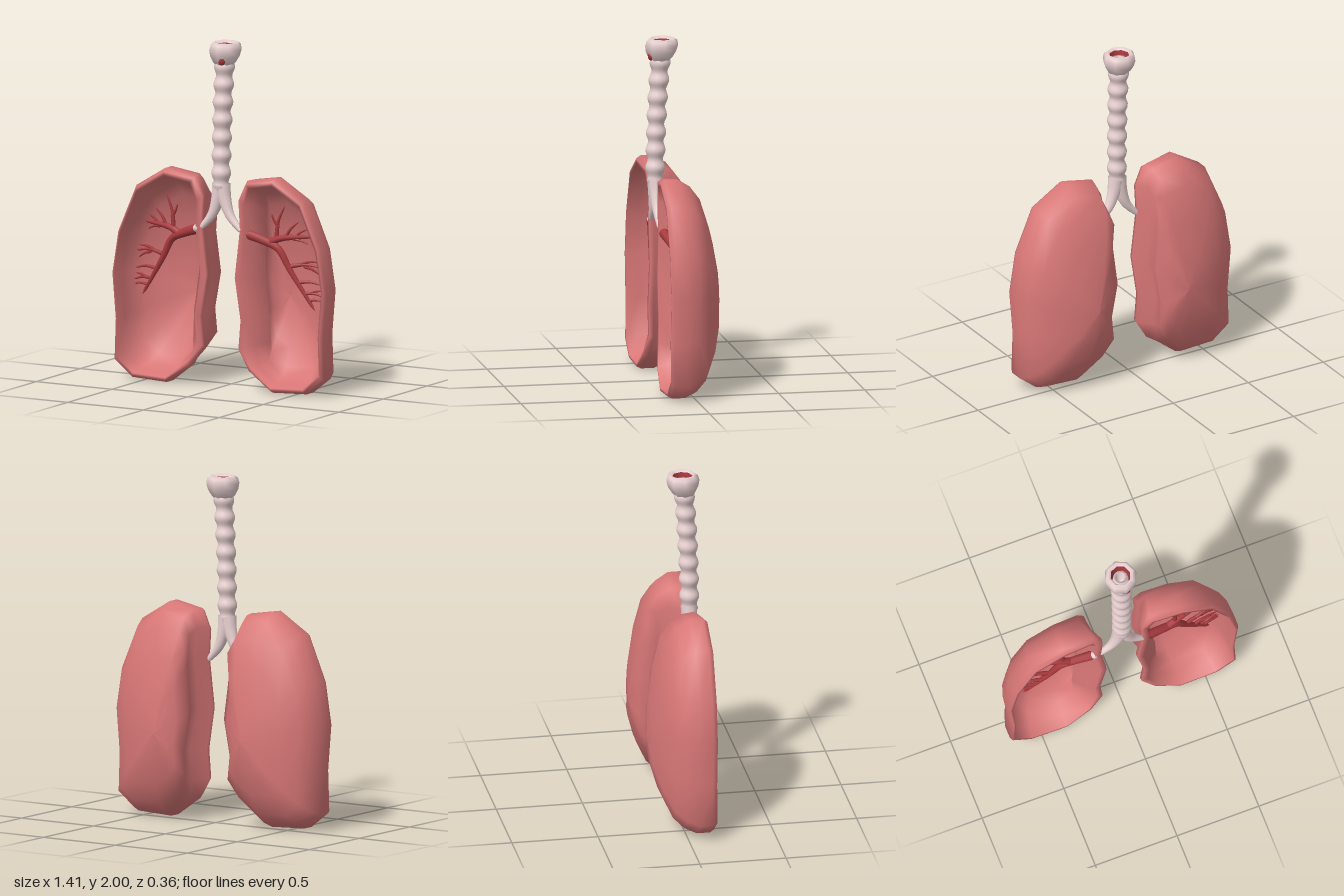
import * as THREE from 'three';

const mat = (color) => new THREE.MeshStandardMaterial({ color, side: THREE.DoubleSide });
const lungMat = mat(0xd97777), paleMat = mat(0xe8d0d0), vesselMat = mat(0xa83a3e);
const { clamp, lerp } = THREE.MathUtils;

function add(parent, name, geometry, material) {
  const mesh = new THREE.Mesh(geometry, material);
  mesh.name = name;
  parent.add(mesh);
  return mesh;
}

// Outline of one lung, clockwise from the top
const OUTLINE = [
  [0.36, 1.245], [0.55, 1.13], [0.665, 0.865], [0.705, 0.615], [0.682, 0.345], [0.69, 0.105], [0.575, 0.015],
  [0.35, 0.005], [0.195, 0.11], [0.115, 0.23], [0.13, 0.4], [0.09, 0.65], [0.125, 0.94], [0.115, 1.11], [0.17, 1.215],
];

// Rings of [scale, z] from the back to the rim; the inside repeats them smaller and further forward
const SKIN = [[0, -0.183], [0.3, -0.17], [0.6, -0.125], [0.83, -0.07], [0.94, -0.01], [1, 0.06]];
const RIM = [[1, 0.135], [0.975, 0.16], [0.945, 0.16]];
const RINGS = [...SKIN, ...RIM, ...SKIN.map(([s, z]) => [s * 0.92, z + 0.03]).reverse()];

// Hollow lung, open at the front, with the wall facing the windpipe pinched in
function lungGeometry(side) {
  const cx = 0.3, cy = 0.52, n = OUTLINE.length, pos = [], index = [];
  RINGS.forEach(([s, ringZ], i) => {
    for (const [ox, oy] of OUTLINE) {
      const x = cx + (ox - cx) * s, y = cy + (oy - cy) * s;
      const medial = clamp((0.25 - x) / 0.12, 0, 1);
      const z = ringZ - 0.03 * medial;
      const pinch = (0.05 + 0.05 * clamp((1 - y) / 0.7, 0, 1)) * Math.exp(-((z / 0.055) ** 2));
      const wall = i > 7 ? 0.03 : 0;
      pos.push(side * (x + medial * (pinch + wall)), y, z);
    }
  });
  for (let i = 0; i < RINGS.length - 1; i++) {
    for (let j = 0; j < n; j++) {
      const k = (j + 1) % n;
      const a = i * n + j, b = a + n, c = i * n + k, d = c + n;
      if (side > 0) index.push(a, b, c, c, b, d);
      else index.push(a, c, b, c, d, b);
    }
  }
  const g = new THREE.BufferGeometry();
  g.setAttribute('position', new THREE.Float32BufferAttribute(pos, 3));
  g.setIndex(index);
  g.computeVertexNormals();
  return g;
}

// Tube along points, tapering from r0 to r1, with closed ends
function taperTube(points, r0, r1, segs, radial) {
  const curve = new THREE.CatmullRomCurve3(points);
  const g = new THREE.TubeGeometry(curve, segs, 1, radial);
  const p = g.attributes.position, v = new THREE.Vector3();
  for (let i = 0; i <= segs; i++) {
    const c = curve.getPointAt(i / segs);
    const r = i === 0 || i === segs ? 0.001 : lerp(r0, r1, i / segs);
    for (let j = 0; j <= radial; j++) {
      const k = i * (radial + 1) + j;
      v.fromBufferAttribute(p, k).sub(c).multiplyScalar(r).add(c);
      p.setXYZ(k, v.x, v.y, v.z);
    }
  }
  return g;
}

// Lathe whose axis leans slightly backwards towards the top
function leaningLathe(profile, sides) {
  const g = new THREE.LatheGeometry(profile.map(([r, y]) => new THREE.Vector2(r, y)), sides);
  const p = g.attributes.position;
  for (let i = 0; i < p.count; i++) {
    const t = (p.getY(i) - 1.17) / 0.83;
    p.setZ(i, p.getZ(i) + 0.12 - 0.04 * t * t);
    p.setX(i, p.getX(i) + 0.008 * t);
  }
  return g;
}

// Vessels lie on a slope that falls back towards the outer side of the lung
const onSlope = (side, x, y) => new THREE.Vector3(side * x, y, 0.14 - 0.19 * x);

const MAIN = [[0.15, 0.91], [0.27, 0.87], [0.35, 0.83], [0.42, 0.71], [0.57, 0.48]];
const UPPER = [[0.29, 0.86], [0.36, 0.89], [0.55, 0.91]];

// Twigs as start x, y and end x, y
const TWIGS = [
  [0.34, 0.88, 0.39, 1.08], [0.36, 0.95, 0.31, 1.03], [0.39, 0.89, 0.47, 0.99], [0.45, 0.9, 0.52, 0.95],
  [0.43, 0.89, 0.53, 0.865], [0.41, 0.73, 0.62, 0.73], [0.47, 0.74, 0.59, 0.765], [0.5, 0.735, 0.6, 0.69],
  [0.46, 0.64, 0.62, 0.63], [0.5, 0.58, 0.635, 0.56], [0.53, 0.575, 0.62, 0.6], [0.53, 0.54, 0.63, 0.535],
];

function addVessels(parent, side) {
  const path = (points) => points.map(([x, y]) => onSlope(side, x, y));
  add(parent, 'mainVessel', taperTube(path(MAIN), 0.03, 0.008, 20, 8), vesselMat);
  add(parent, 'upperVessel', taperTube(path(UPPER), 0.024, 0.008, 16, 8), vesselMat);
  for (const [x0, y0, x1, y1] of TWIGS) {
    // Longer twigs are thicker, and each bows a little to one side
    const length = Math.hypot(x1 - x0, y1 - y0);
    const middle = [(x0 + x1) / 2 - (y1 - y0) * 0.08, (y0 + y1) / 2 + (x1 - x0) * 0.08];
    const points = path([[x0, y0], middle, [x1, y1]]);
    add(parent, 'twig', taperTube(points, 0.006 + 0.04 * length, 0.004, 8, 6), vesselMat);
  }
}

export function createModel() {
  const model = new THREE.Group();
  model.name = 'lungs';

  // Ringed windpipe
  const windpipe = [[0.03, 1.12]];
  for (let i = 0; i <= 56; i++) {
    const y = 1.17 + (i / 56) * 0.72;
    windpipe.push([0.05 + 0.004 * (i / 56) - 0.007 * Math.cos(((y - 1.195) / 0.102) * Math.PI * 2), y]);
  }
  add(model, 'windpipe', leaningLathe(windpipe, 16), paleMat);

  // Flared voice box with a dark lining and an inner tube
  const box = [[0.05, 1.865], [0.068, 1.885], [0.088, 1.92], [0.096, 1.955], [0.09, 1.985], [0.072, 2.0], [0.058, 1.985]];
  add(model, 'voiceBox', leaningLathe(box, 8), paleMat);
  add(model, 'voiceBoxLining', leaningLathe([[0.058, 1.985], [0.052, 1.95], [0.046, 1.92]], 8), vesselMat);
  add(model, 'innerTube', leaningLathe([[0.048, 1.93], [0.042, 1.96], [0.028, 1.96], [0.024, 1.9], [0.001, 1.89]], 10), paleMat);
  const notch = add(model, 'voiceBoxNotch', new THREE.SphereGeometry(1, 8, 6), vesselMat);
  notch.scale.set(0.025, 0.032, 0.02);
  notch.position.set(0.02, 1.905, 0.148);

  for (const side of [1, -1]) {
    const half = new THREE.Group();
    half.name = side > 0 ? 'leftLung' : 'rightLung';
    model.add(half);
    add(half, 'lungShell', lungGeometry(side), lungMat);
    const fork = [[0.005, 1.2], [0.022, 1.1], [0.06, 1.0], [0.14, 0.91]].map(([x, y]) => new THREE.Vector3(side * x, y, 0.118));
    add(half, 'bronchus', taperTube(fork, 0.05, 0.014, 16, 10), paleMat);
    addVessels(half, side);
  }

  // Pale end of the right bronchus
  const tip = add(model, 'bronchusTip', new THREE.SphereGeometry(0.024, 10, 8), paleMat);
  tip.position.set(-0.165, 0.91, 0.112);
  return model;
}
